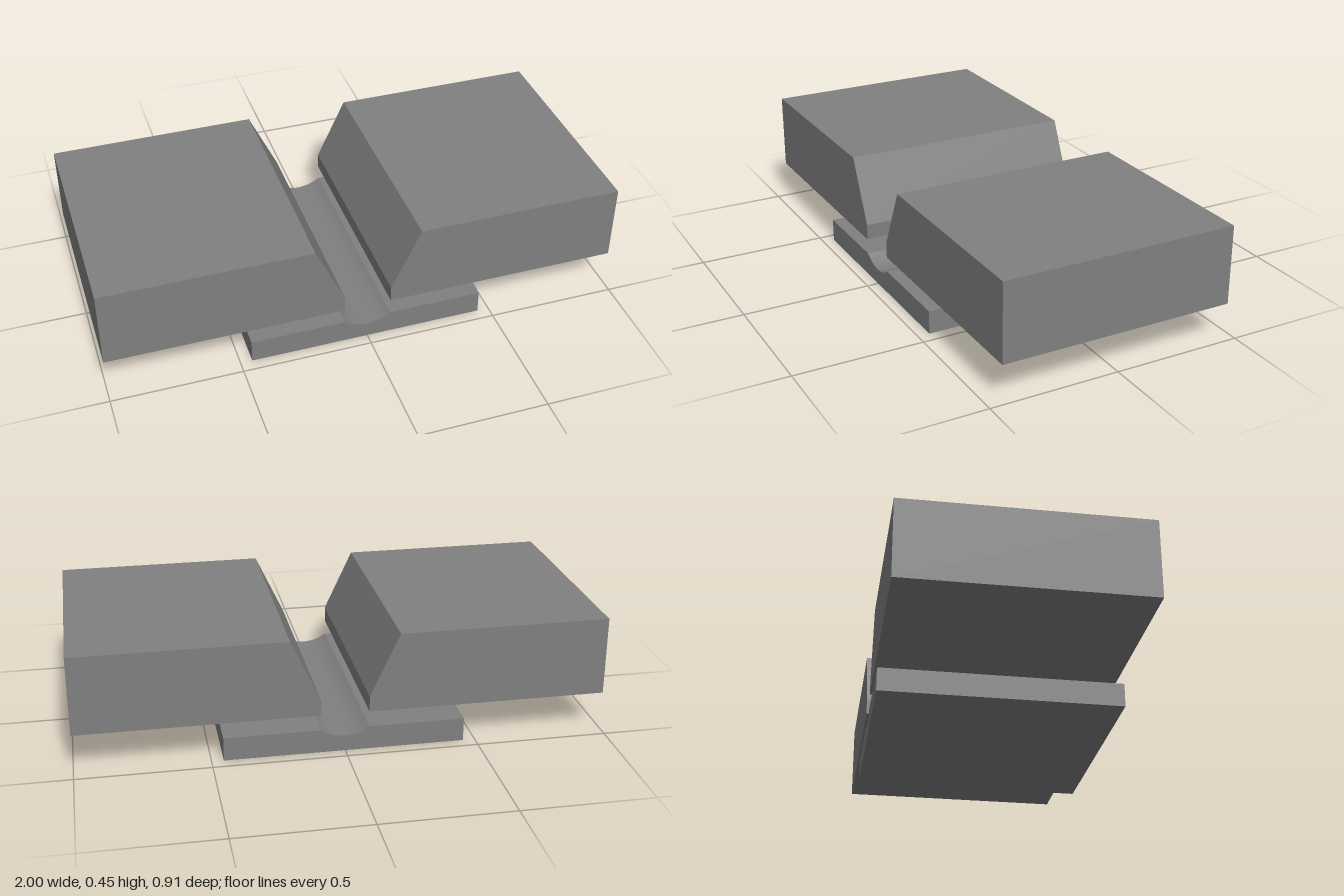
import * as THREE from 'three';
import { toCreasedNormals } from 'three/addons/utils/BufferGeometryUtils.js';

const U = 1 / 33;          // one millimetre of the joint
const DEPTH = 30 * U;      // length along the seam

const steel = new THREE.MeshStandardMaterial({ color: 0x808080 });
steel.name = 'grey steel';

// Extrude a cross-section along z, centred, with soft curves and sharp edges
function bar(name, shape) {
  const geometry = new THREE.ExtrudeGeometry(shape, {
    depth: DEPTH, bevelEnabled: false, curveSegments: 24,
  });
  geometry.translate(0, 0, -DEPTH / 2);
  const mesh = new THREE.Mesh(toCreasedNormals(geometry, 0.4), steel);
  mesh.name = name;
  return mesh;
}

// Plate with a bevelled inner edge above a short upright root face
function plateShape(side) {
  const bottom = 5 * U, top = 15 * U, root = 7 * U;
  const gap = 3 * U;
  const bevel = gap + (top - root) * Math.tan(THREE.MathUtils.degToRad(25));
  return new THREE.Shape([
    [gap, bottom], [1, bottom], [1, top], [bevel, top], [gap, root],
  ].map(([x, y]) => new THREE.Vector2(side * x, y)));
}

// Backing strip with a shallow round groove under the gap
function backingShape() {
  const half = 15 * U, top = 3 * U, radius = 5 * U;
  const spread = Math.asin(3 / 5);
  const shape = new THREE.Shape();
  shape.moveTo(-half, 0);
  shape.lineTo(half, 0);
  shape.lineTo(half, top);
  shape.lineTo(3 * U, top);
  shape.absarc(0, top + 4 * U, radius, -Math.PI / 2 + spread, -Math.PI / 2 - spread, true);
  shape.lineTo(-half, top);
  shape.closePath();
  return shape;
}

export function createModel() {
  const model = new THREE.Group();
  model.name = 'weldJoint';
  model.add(
    bar('leftPlate', plateShape(1)),
    bar('rightPlate', plateShape(-1)),
    bar('backingStrip', backingShape()),
  );
  return model;
}
